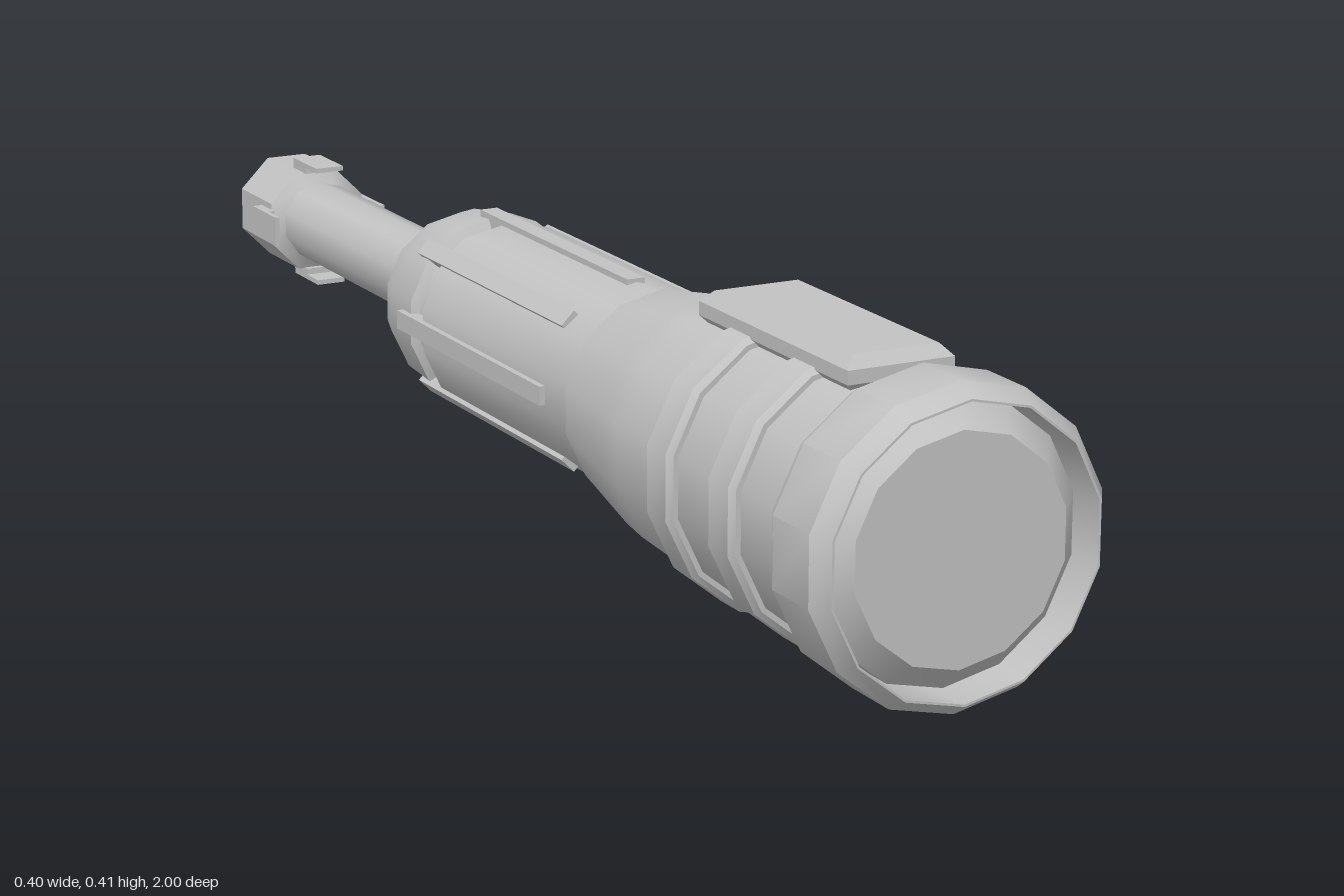
import * as THREE from 'three';
import { toCreasedNormals } from 'three/addons/utils/BufferGeometryUtils.js';

const CENTER_Y = 0.207;

export function createModel() {
  const grey = new THREE.MeshStandardMaterial({ color: 0xc2c2c2 });
  grey.name = 'grey';
  const model = new THREE.Group();
  model.name = 'handheldTool';
  const axis = new THREE.Group();
  axis.name = 'axisParts';
  axis.position.y = CENTER_Y;
  model.add(axis);

  // Turned part along z: [radius, z] points, outer wall listed towards +z
  function turned(name, points, sides = 14, phase = 0) {
    const pts = points.map(([r, z]) => new THREE.Vector2(r, z));
    const geo = new THREE.LatheGeometry(pts, sides, phase);
    geo.rotateX(Math.PI / 2);
    const mesh = new THREE.Mesh(toCreasedNormals(geo, sides < 12 ? 0.7 : 0.55), grey);
    mesh.name = name;
    axis.add(mesh);
    return mesh;
  }

  // Boxes spread evenly round the axis
  function radial(name, count, width, rIn, rOut, z0, z1) {
    for (let i = 0; i < count; i++) {
      const geo = new THREE.BoxGeometry(width, rOut - rIn, z1 - z0);
      geo.translate(0, (rIn + rOut) / 2, (z0 + z1) / 2);
      geo.rotateZ((i / count) * Math.PI * 2);
      const mesh = new THREE.Mesh(geo, grey);
      mesh.name = name + (i + 1);
      axis.add(mesh);
    }
  }

  // Main body with a bevelled front lens
  turned('body', [
    [0, 0.24], [0.146, 0.24], [0.175, 0.4], [0.181, 0.45],
    [0.181, 0.95], [0.148, 0.985], [0, 0.985],
  ]);

  // Open collar round the front
  turned('frontCollar', [
    [0.187, 0.865], [0.192, 0.865], [0.206, 0.89], [0.206, 0.975],
    [0.189, 1], [0.186, 1], [0.186, 0.865],
  ]);

  // Raised ribs
  for (const z of [0.58, 0.738]) {
    turned('rib', [
      [0.178, z - 0.032], [0.188, z - 0.032], [0.195, z - 0.024],
      [0.195, z + 0.024], [0.188, z + 0.032], [0.178, z + 0.032],
    ]);
  }

  // Grip sleeve with a groove and an open, hollow rear end
  turned('gripSleeve', [
    [0, -0.2], [0.1, -0.2], [0.1, -0.37], [0.118, -0.37], [0.133, -0.325],
    [0.138, -0.25], [0.126, -0.243], [0.126, -0.217], [0.138, -0.21], [0.138, 0.245],
  ].map((p) => p));
  radial('gripRail', 8, 0.026, 0.122, 0.143, -0.278, 0.165);

  // Shaft and hollow hexagonal-style tip
  turned('shaft', [[0.06, -0.87], [0.06, -0.19]], 10);
  turned('tip', [
    [0, -0.88], [0.04, -0.88], [0.04, -1], [0.068, -1], [0.081, -0.988],
    [0.081, -0.875], [0.058, -0.86],
  ], 8, Math.PI / 8);
  radial('tipProng', 4, 0.044, 0.074, 0.09, -0.91, -0.865);
  radial('tipProngEnd', 4, 0.044, 0.083, 0.09, -0.865, -0.825);

  // Switch pad on top: bevelled block
  const hw = 0.06, hl = 0.17;
  const outline = new THREE.Shape([
    new THREE.Vector2(-hw, -hl), new THREE.Vector2(hw, -hl),
    new THREE.Vector2(hw, hl), new THREE.Vector2(-hw, hl),
  ]);
  const padGeo = new THREE.ExtrudeGeometry(outline, {
    depth: 0.018, bevelEnabled: true, bevelThickness: 0.015, bevelSize: 0.014, bevelSegments: 1,
  });
  padGeo.rotateX(-Math.PI / 2);
  const pad = new THREE.Mesh(padGeo, grey);
  pad.name = 'switchPad';
  pad.position.set(0, 0.382, 0.658);
  model.add(pad);

  return model;
}
